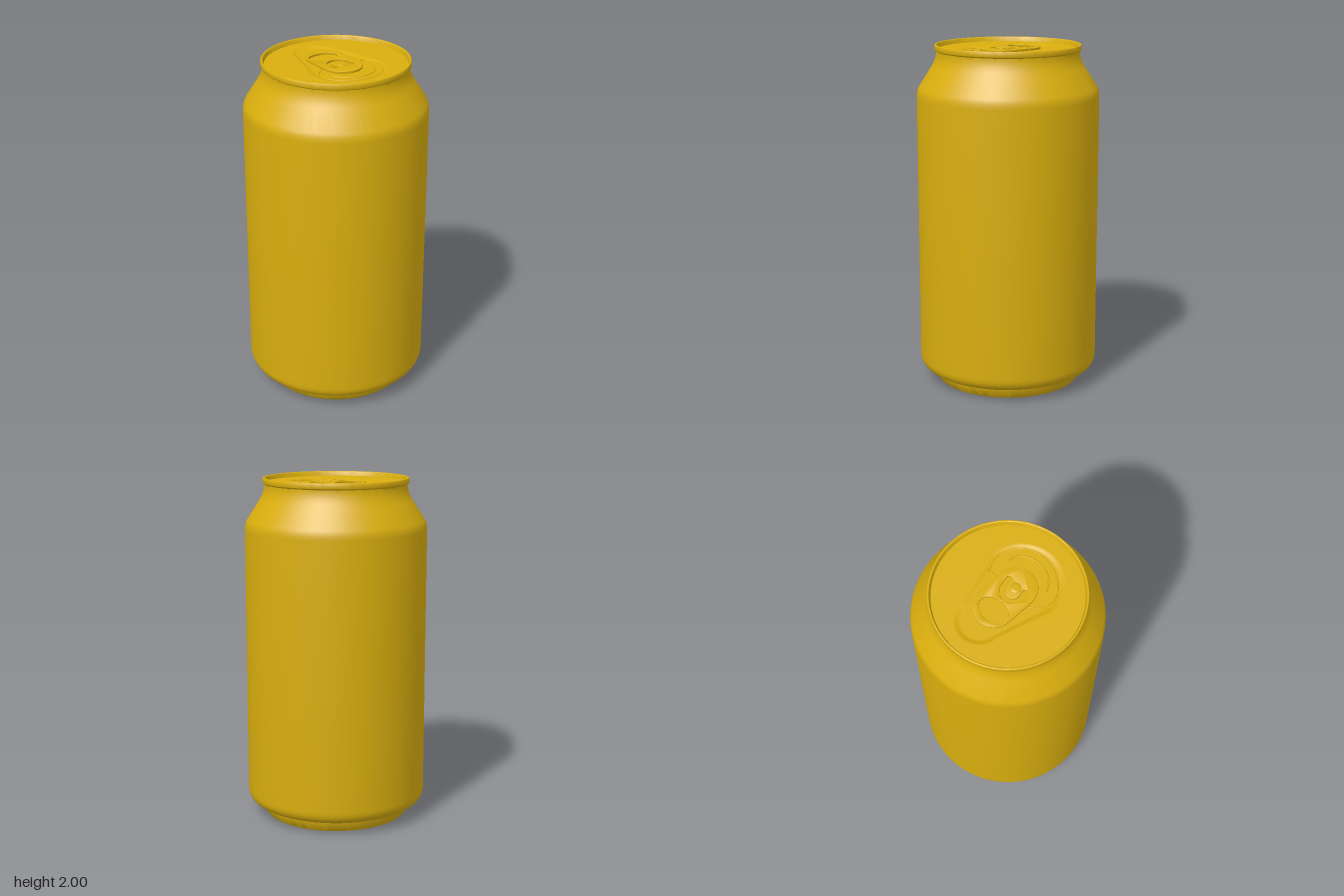
import * as THREE from 'three';
import { toCreasedNormals } from 'three/addons/utils/BufferGeometryUtils.js';

const material = new THREE.MeshStandardMaterial({ color: 0xd9ae0e });
const V2 = (x, y) => new THREE.Vector2(x, y);

function addPart(group, name, geometry) {
  const mesh = new THREE.Mesh(geometry, material);
  mesh.name = name;
  group.add(mesh);
  return mesh;
}

// Bent piece of profile between two points, pulled toward a control point
const bend = (a, c, b, n) => new THREE.QuadraticBezierCurve(V2(...a), V2(...c), V2(...b)).getPoints(n);

// Thin raised line on the lid, through [x, z] points
function ridge(points, y, radius) {
  const curve = new THREE.CatmullRomCurve3(points.map(([x, z]) => new THREE.Vector3(x, y, z)));
  return new THREE.TubeGeometry(curve, 64, radius, 8);
}

export function createModel() {
  const can = new THREE.Group();
  can.name = 'can';
  const lidY = 1.973;
  const panelDepth = 0.009;

  // Body: recessed base, foot ring, rounded heel, wall, shoulder, neck and rim
  const profile = [
    V2(0, 0.1), V2(0.385, 0.1),
    ...bend([0.4, 0.012], [0.403, 0], [0.41, 0], 4),
    ...bend([0.41, 0], [0.42, 0], [0.424, 0.01], 4).slice(1),
    V2(0.453, 0.06), V2(0.453, 0.066),
    ...bend([0.465, 0.068], [0.527, 0.085], [0.527, 0.15], 10),
    ...bend([0.527, 1.7], [0.527, 1.735], [0.512, 1.76], 6),
    ...bend([0.445, 1.865], [0.412, 1.915], [0.412, 1.962], 8),
    ...bend([0.418, 1.966], [0.422, 1.968], [0.422, 1.974], 3),
    ...bend([0.422, 1.992], [0.422, 2], [0.415, 2], 4),
    ...bend([0.415, 2], [0.409, 2], [0.408, 1.994], 4).slice(1),
    V2(0.402, lidY - 0.002),
  ];
  addPart(can, 'body', toCreasedNormals(new THREE.LatheGeometry(profile, 128), 0.6));

  // Lid: disc with a shallow teardrop panel pressed into it
  const lid = new THREE.RingGeometry(0, 0.404, 128, 64).rotateX(-Math.PI / 2);
  const position = lid.attributes.position;
  const back = V2(0.04, -0.2);
  const axis = V2(-0.02, 0.1).sub(back);
  for (let i = 0; i < position.count; i++) {
    const offset = V2(position.getX(i), position.getZ(i)).sub(back);
    const t = THREE.MathUtils.clamp(offset.dot(axis) / axis.lengthSq(), 0, 1);
    const edge = offset.addScaledVector(axis, -t).length() - (0.13 + 0.09 * t);
    position.setY(i, lidY - panelDepth * (1 - THREE.MathUtils.smoothstep(edge, -0.025, 0.005)));
  }
  lid.computeVertexNormals();
  addPart(can, 'lid', lid);

  // Mouth: outer score line and the inner stiffening bead
  const mouth = new THREE.Group();
  mouth.name = 'mouth';
  can.add(mouth);
  const floorY = lidY - panelDepth;
  addPart(mouth, 'scoreLine', ridge([
    [0.1, 0.045], [0.15, 0.062], [0.163, 0.045], [0.165, 0.075], [0.177, 0.13], [0.15, 0.215],
    [0.08, 0.274], [0, 0.288], [-0.09, 0.268], [-0.17, 0.21], [-0.212, 0.13], [-0.19, 0.05], [-0.12, 0.005],
  ], floorY, 0.004));
  addPart(mouth, 'innerBead', ridge([
    [-0.153, 0.13], [-0.13, 0.185], [-0.08, 0.23], [-0.02, 0.246], [0.04, 0.24], [0.09, 0.21], [0.113, 0.165],
  ], floorY, 0.005));

  // Pull tab: slanted stadium with a finger hole and a curved slot round the rivet
  const tab = new THREE.Group();
  tab.name = 'pullTab';
  tab.position.y = floorY + 0.004;
  can.add(tab);
  const outline = new THREE.Shape();
  const tilt = Math.atan2(-0.034, 0.155);
  outline.absarc(0.022, 0.097, 0.115, tilt, tilt + Math.PI, false);
  outline.absarc(-0.012, -0.058, 0.115, tilt + Math.PI, tilt + 2 * Math.PI, false);
  outline.closePath();
  const fingerHole = new THREE.Path();
  fingerHole.absellipse(0.012, 0.113, 0.09, 0.061, 0, 2 * Math.PI, true, -0.15);
  const slot = new THREE.Path();
  slot.moveTo(0.062, -0.08);
  slot.absarc(-0.008, -0.032, 0.07, 0, Math.PI, false);
  slot.lineTo(-0.078, -0.062);
  slot.absarc(-0.065, -0.062, 0.013, Math.PI, 2 * Math.PI, false);
  slot.absarc(-0.008, -0.032, 0.045, Math.PI, 0, true);
  slot.lineTo(0.037, -0.08);
  slot.absarc(0.0495, -0.08, 0.0125, Math.PI, 2 * Math.PI, false);
  outline.holes.push(fingerHole, slot);
  const plate = new THREE.ExtrudeGeometry(outline, {
    depth: 0.008, curveSegments: 24, bevelThickness: 0.003, bevelSize: 0.003, bevelOffset: -0.003, bevelSegments: 2,
  }).rotateX(-Math.PI / 2);
  addPart(tab, 'tabPlate', toCreasedNormals(plate, 0.6));

  // Rivet holding the tab
  const rivet = new THREE.LatheGeometry([
    V2(0.028, 0), V2(0.028, 0.013), ...bend([0.026, 0.015], [0.02, 0.018], [0, 0.018], 4),
  ], 32);
  addPart(tab, 'rivet', toCreasedNormals(rivet, 0.6)).position.set(-0.012, 0, 0.054);

  return can;
}
